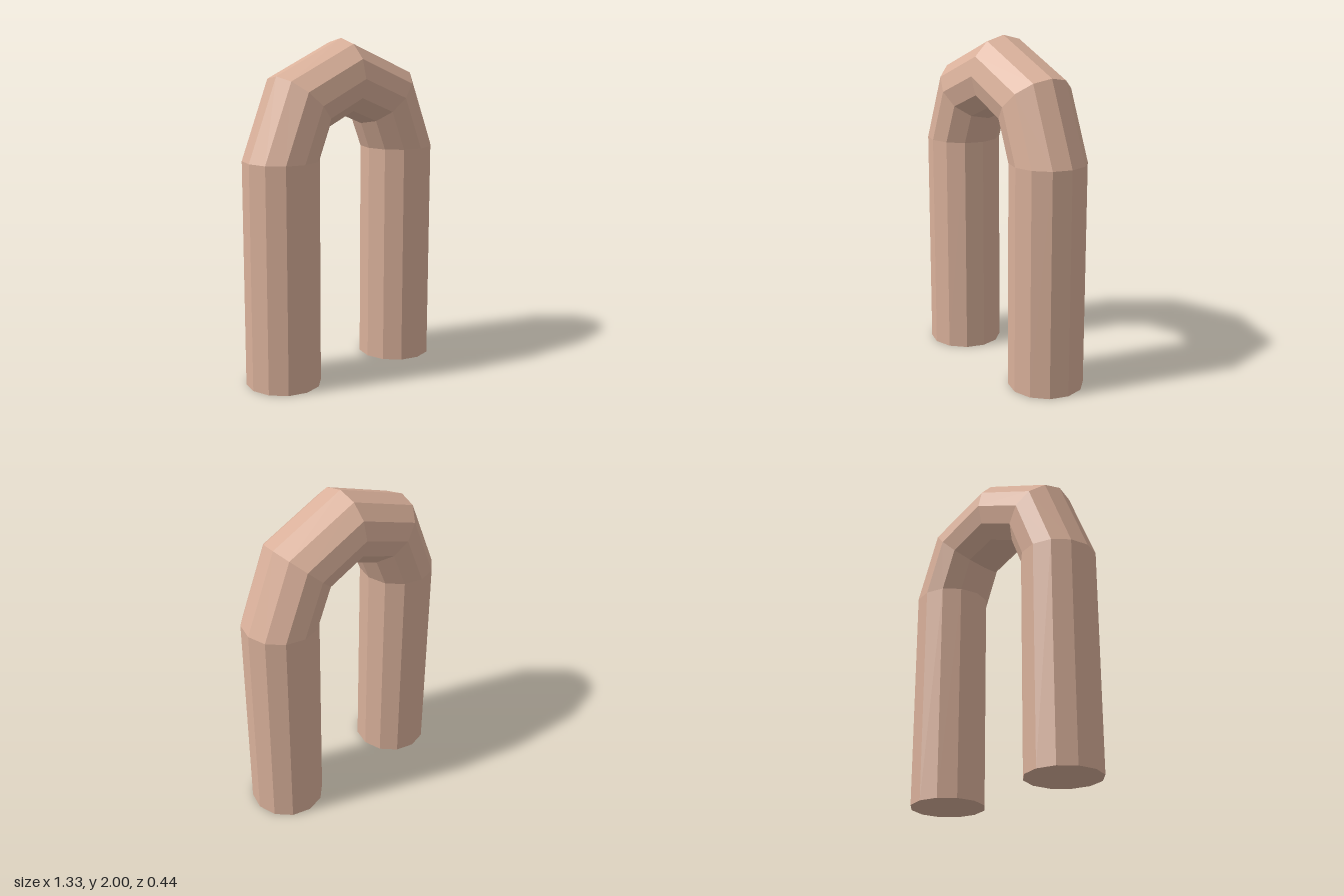
import * as THREE from 'three';

const TUBE = 2 / 9;      // tube radius
const BEND = 4 / 9;      // radius of the bend's centre line
const LEG = 4 / 3;       // height of the straight legs
const SIDES = 12;

export function createModel() {
  const group = new THREE.Group();
  group.name = 'archedTube';
  const material = new THREE.MeshStandardMaterial({ color: 0xd9b09a, flatShading: true });

  const add = (name, geometry, x, y) => {
    const mesh = new THREE.Mesh(geometry, material);
    mesh.name = name;
    mesh.position.set(x, y, 0);
    group.add(mesh);
  };

  // Half-ring bend in four straight segments
  add('bend', new THREE.TorusGeometry(BEND, TUBE, SIDES, 4, Math.PI), 0, LEG);

  // Straight legs, closed at the foot and open where they meet the bend
  for (const [side, x] of [['left', BEND], ['right', -BEND]]) {
    add(side + 'Leg', new THREE.CylinderGeometry(TUBE, TUBE, LEG, SIDES, 1, true), x, LEG / 2);
    add(side + 'LegEnd', new THREE.CircleGeometry(TUBE, SIDES).rotateX(Math.PI / 2), x, 0);
  }
  return group;
}
